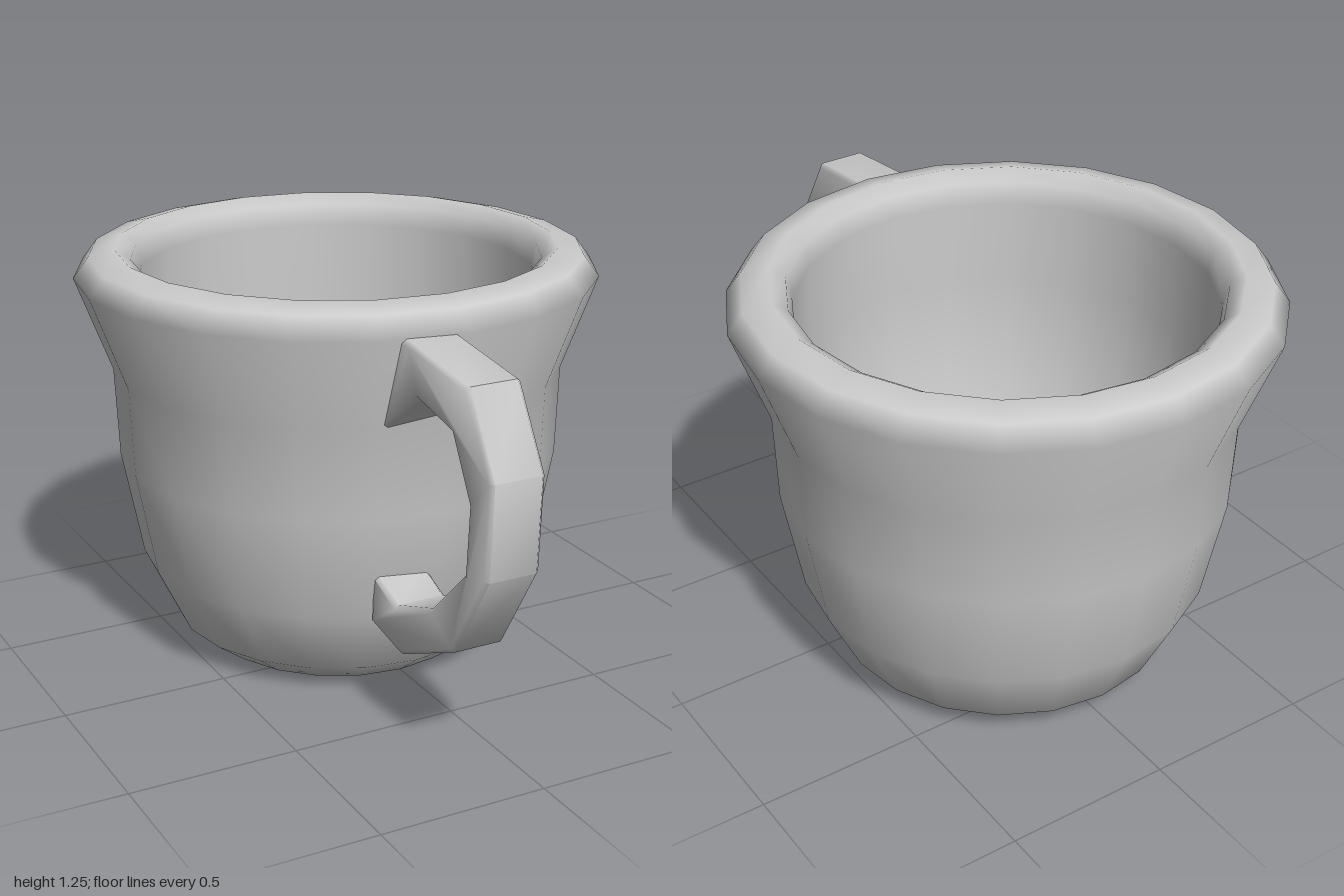
import * as THREE from 'three';
import { toCreasedNormals } from 'three/addons/utils/BufferGeometryUtils.js';

const points = (list) => list.map(([a, b]) => new THREE.Vector2(a, b));

export function createModel() {
  const group = new THREE.Group();
  const material = new THREE.MeshStandardMaterial({ color: 0xcccccc });

  // Cup: outer wall from the base up, over the rolled rim, down the inside
  const profile = points([
    [0, 0], [0.41, 0], [0.51, 0.075], [0.61, 0.285], [0.67, 0.61], [0.68, 0.88],
    [0.785, 1.165], [0.74, 1.225], [0.66, 1.245], [0.615, 1.215], [0.6, 1.15],
    [0.61, 0.88], [0.595, 0.61], [0.53, 0.3], [0.43, 0.14], [0, 0.08],
  ]);
  const cup = new THREE.Mesh(new THREE.LatheGeometry(profile, 20), material);
  cup.name = 'cup';
  cup.position.z = -0.215;
  group.add(cup);

  // Handle: faceted C outline (z, y), outer edge then inner edge, ends sunk in the wall
  const outline = points([
    [0.49, 1.17], [0.57, 1.165], [0.87, 1.13], [1.0, 0.91], [0.985, 0.635],
    [0.82, 0.37], [0.535, 0.24], [0.36, 0.27],
    [0.37, 0.43], [0.505, 0.38], [0.7, 0.45], [0.875, 0.62], [0.89, 0.82],
    [0.8, 0.985], [0.62, 1.02], [0.43, 0.88],
  ]);
  const bevel = 0.012;
  const bar = new THREE.ExtrudeGeometry(new THREE.Shape(outline), {
    depth: 0.165 - 2 * bevel, bevelEnabled: true, bevelSegments: 1,
    bevelSize: bevel, bevelThickness: bevel, bevelOffset: -bevel,
  });
  bar.rotateY(-Math.PI / 2);
  const handle = new THREE.Mesh(toCreasedNormals(bar, 0.9), material);
  handle.name = 'handle';
  handle.position.x = -0.025 - bevel;
  group.add(handle);

  return group;
}
